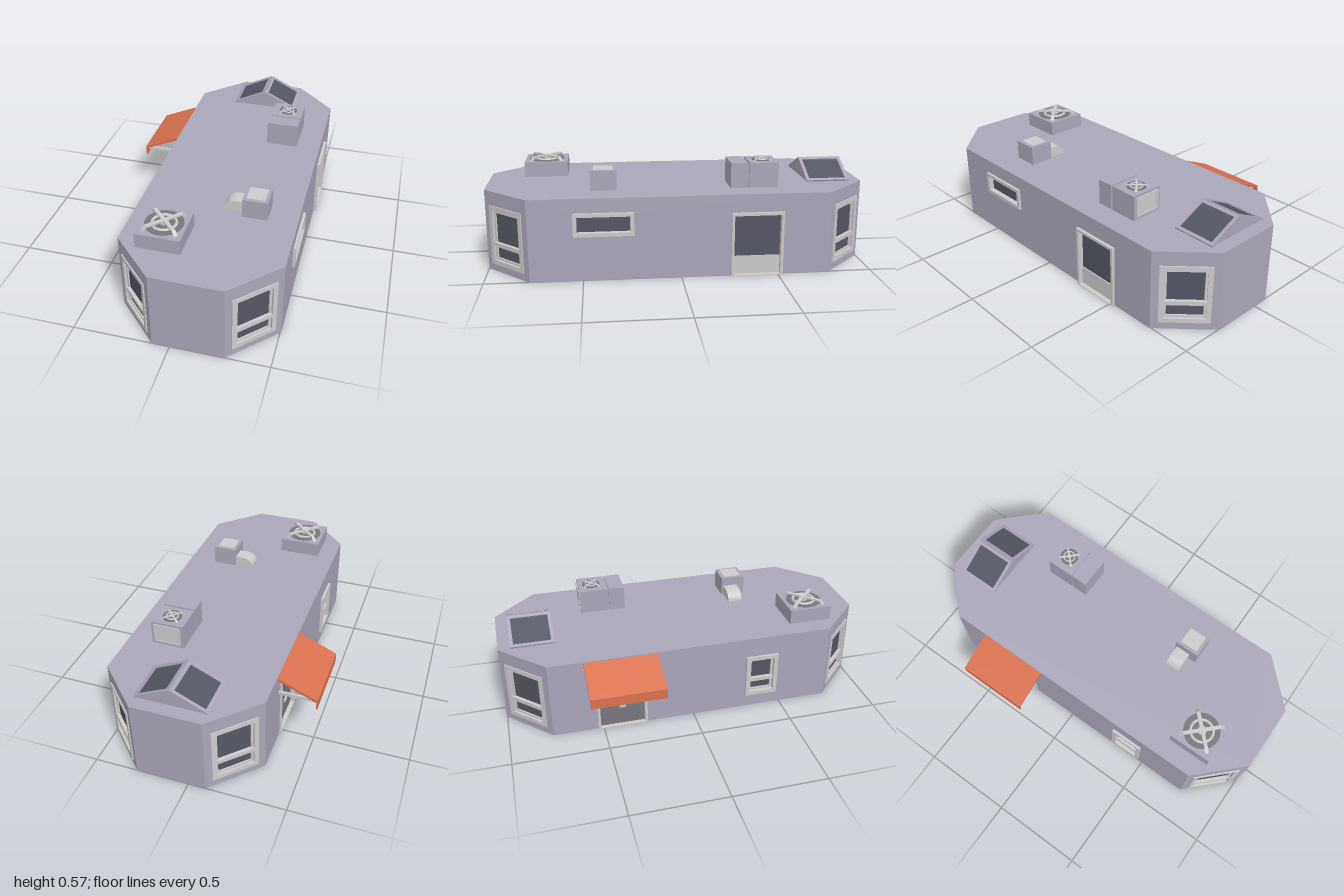
import * as THREE from 'three';

const mat = (color, side = THREE.FrontSide) =>
  new THREE.MeshStandardMaterial({ color, flatShading: true, side });
const GREY = mat(0xcccccc);
const WALL = mat(0xa9a7b9);
const GLASS = mat(0x545664);
const DARK = mat(0x77777d);
const ORANGE = mat(0xd9724f);
const H = 0.425, T = 0.035; // wall height and thickness

function add(parent, name, geo, material, x = 0, y = 0, z = 0) {
  const m = new THREE.Mesh(geo, material);
  m.name = name;
  m.position.set(x, y, z);
  parent.add(m);
  return m;
}

// box given by its minimum and maximum on each axis
function box(parent, name, material, x0, x1, y0, y1, z0, z1) {
  return add(parent, name, new THREE.BoxGeometry(x1 - x0, y1 - y0, z1 - z0), material,
    (x0 + x1) / 2, (y0 + y1) / 2, (z0 + z1) / 2);
}

const poly = (pts) => pts.map(([x, y]) => new THREE.Vector2(x, y));
const rect = (x0, x1, y0, y1) => poly([[x0, y0], [x1, y0], [x1, y1], [x0, y1]]);

// rectangular ring in the xy plane, from z0 to z1
function frame(parent, name, material, [x0, x1, y0, y1], rim, z0, z1, sill = rim) {
  const s = new THREE.Shape(rect(x0, x1, y0, y1));
  s.holes.push(new THREE.Path(rect(x0 + rim, x1 - rim, y0 + sill, y1 - rim)));
  return add(parent, name, new THREE.ExtrudeGeometry(s, { depth: z1 - z0, bevelEnabled: false }), material, 0, 0, z0);
}

// framed window with an optional cross bar at height bar
function windowUnit(parent, r, rim, out, bar) {
  const [x0, x1, y0, y1] = r;
  frame(parent, 'windowFrame', GREY, r, rim, -T - 0.008, out);
  box(parent, 'windowGlass', GLASS, x0 + rim, x1 - rim, y0 + rim, y1 - rim, -0.024, -0.014);
  if (!bar) return;
  const inner = [x0 + rim, x1 - rim, y0 + rim, y1 - rim];
  frame(parent, 'windowSash', GREY, inner, 0.012, -0.03, -0.006);
  box(parent, 'windowBar', GREY, x0 + rim, x1 - rim, bar - 0.011, bar + 0.011, -0.03, 0.004);
}

// one wall between two plan corners; local x runs along it, local z points outward
function wall(parent, name, [ax, az], [bx, bz], openings = []) {
  const g = new THREE.Group();
  g.name = name;
  g.position.set(ax, 0, az);
  g.rotation.y = Math.atan2(az - bz, bx - ax);
  const s = new THREE.Shape(rect(0, Math.hypot(bx - ax, bz - az), 0, H));
  for (const [x0, x1, y0, y1] of openings)
    s.holes.push(new THREE.Path(rect(x0 + 0.004, x1 - 0.004, y0 + 0.003, y1 - 0.004)));
  add(g, 'wallPanel', new THREE.ExtrudeGeometry(s, { depth: T, bevelEnabled: false }), WALL, 0, 0, -T);
  parent.add(g);
  return g;
}

// round fan with a ring and a raised diagonal guard
function fan(parent, x, y, z, r, lift) {
  const g = new THREE.Group();
  g.name = 'roofFan';
  g.position.set(x, y, z);
  parent.add(g);
  add(g, 'fanWell', new THREE.CylinderGeometry(r, r, 0.004, 24), DARK, 0, 0.001, 0);
  const ring = add(g, 'fanRing', new THREE.TorusGeometry(r * 0.62, r * 0.08, 6, 24), GREY, 0, 0.003, 0);
  ring.rotation.x = Math.PI / 2;
  add(g, 'fanHub', new THREE.CylinderGeometry(r * 0.25, r * 0.25, lift * 0.6, 12), GREY, 0, lift * 0.3, 0);
  const L = r * 1.25, w = r * 0.2, t = lift * 0.4;
  const bar = new THREE.Shape(poly([[-L, 0], [-L + t, 0], [-L * 0.82 + t / 2, lift - t], [L * 0.82 - t / 2, lift - t],
    [L - t, 0], [L, 0], [L * 0.82, lift], [-L * 0.82, lift]]));
  for (const a of [1, -1]) {
    const pivot = new THREE.Group();
    pivot.rotation.y = a * Math.PI / 4;
    add(pivot, 'fanGuard', new THREE.ExtrudeGeometry(bar, { depth: w, bevelEnabled: false }), GREY, 0, 0, -w / 2);
    g.add(pivot);
  }
}

export function createModel() {
  const model = new THREE.Group();
  model.name = 'trailer';

  // eight walls around an octagonal plan, open underneath
  const plan = [[-0.09, 1], [0.275, 1], [0.505, 0.77], [0.505, -0.77],
    [0.275, -1], [-0.09, -1], [-0.32, -0.77], [-0.32, 0.77]];
  const bay = [0.038, 0.287, 0.04, 0.355];
  const wideWindow = [0.225, 0.53, 0.235, 0.355], leftDoor = [1.025, 1.295, 0, 0.335];
  const smallWindow = [1.065, 1.245, 0.075, 0.32], rightDoor = [0.24, 0.51, 0, 0.37];
  const names = ['frontWall', 'frontLeftCorner', 'leftWall', 'backLeftCorner',
    'backWall', 'backRightCorner', 'rightWall', 'frontRightCorner'];
  const holes = { 2: [wideWindow, leftDoor], 6: [rightDoor, smallWindow] };
  const walls = plan.map((p, i) =>
    wall(model, names[i], p, plan[(i + 1) % 8], i % 2 ? [bay] : holes[i]));
  for (const i of [1, 3, 5, 7]) windowUnit(walls[i], bay, 0.024, 0.006, 0.15);

  // left side: wide window and half-glazed door
  windowUnit(walls[2], wideWindow, 0.019, 0.014);
  frame(walls[2], 'leftDoorFrame', GREY, leftDoor, 0.014, -T - 0.006, 0.016, 0.004);
  box(walls[2], 'leftDoorGlass', GLASS, 1.039, 1.281, 0.1, 0.321, -0.024, -0.014);
  box(walls[2], 'leftDoorPanel', GREY, 1.039, 1.281, 0.004, 0.1, -0.026, -0.008);

  // right side: small window and door with a high pane
  windowUnit(walls[6], smallWindow, 0.022, 0.014, 0.17);
  frame(walls[6], 'rightDoorFrame', GREY, rightDoor, 0.014, -T - 0.006, 0.009, 0.004);
  box(walls[6], 'rightDoorPanel', DARK, 0.254, 0.496, 0.004, 0.356, -0.028, -0.014);
  box(walls[6], 'rightDoorGlass', GLASS, 0.275, 0.475, 0.24, 0.335, -0.031, -0.011);
  box(walls[6], 'rightDoorPlate', GREY, 0.36, 0.395, 0.11, 0.13, -0.034, -0.006);

  // flat roof slab
  const roof = new THREE.ExtrudeGeometry(new THREE.Shape(poly(plan.map(([x, z]) => [x, -z]))),
    { depth: 0.015, bevelEnabled: false });
  add(model, 'roof', roof, WALL, 0, 0.415, 0).rotation.x = -Math.PI / 2;

  // awning over the right door: bent sheet and two arms
  const sheet = new THREE.Shape(poly([[-0.32, 0.424], [-0.525, 0.335], [-0.525, 0.28],
    [-0.519, 0.28], [-0.519, 0.322], [-0.32, 0.41]]));
  add(model, 'awning', new THREE.ExtrudeGeometry(sheet, { depth: 0.39, bevelEnabled: false }), ORANGE, 0, 0, -0.585);
  for (const z of [-0.56, -0.235])
    box(model, 'awningArm', GREY, -0.518, -0.315, 0.3, 0.318, z, z + 0.012);

  // large fan box near the front
  box(model, 'fanBox', WALL, -0.217, 0.012, 0.43, 0.51, 0.58, 0.815);
  fan(model, -0.102, 0.51, 0.698, 0.097, 0.022);

  // square vent with a bent duct
  box(model, 'ventBox', WALL, 0.222, 0.353, 0.43, 0.533, 0.32, 0.455);
  box(model, 'ventLid', GREY, 0.239, 0.336, 0.53, 0.536, 0.338, 0.437);
  const duct = new THREE.Shape();
  duct.moveTo(0.118, 0.43);
  duct.absellipse(0.178, 0.43, 0.06, 0.055, Math.PI, Math.PI / 2, true);
  duct.lineTo(0.225, 0.485);
  duct.lineTo(0.225, 0.43);
  add(model, 'ventDuct', new THREE.ExtrudeGeometry(duct, { depth: 0.08, bevelEnabled: false, curveSegments: 8 }),
    GREY, 0, 0, 0.33);

  // twin cooling unit
  box(model, 'coolerBack', WALL, 0.2, 0.375, 0.43, 0.562, -0.52, -0.368);
  box(model, 'coolerFront', WALL, 0.2, 0.375, 0.43, 0.562, -0.358, -0.27);
  box(model, 'coolerLink', WALL, 0.208, 0.367, 0.43, 0.553, -0.37, -0.356);
  frame(model, 'coolerGrille', GREY, [0.215, 0.36, 0.445, 0.55], 0.008, -0.525, -0.515);
  box(model, 'coolerGrillePanel', GREY, 0.222, 0.352, 0.452, 0.543, -0.522, -0.518);
  fan(model, 0.288, 0.562, -0.446, 0.05, 0.009);

  // gabled skylight with a framed pane on each slope
  const gable = new THREE.Shape(poly([[-0.092, 0.43], [0.278, 0.43], [0.093, 0.518]]));
  add(model, 'skylightGable', new THREE.ExtrudeGeometry(gable, { depth: 0.225, bevelEnabled: false }),
    WALL, 0, 0, -0.93);
  const slope = Math.atan2(0.088, 0.185), len = Math.hypot(0.088, 0.185);
  for (const side of [1, -1]) {
    const pane = new THREE.Group();
    pane.name = 'skylightPane';
    pane.position.set(0.093 + side * 0.0925, 0.474, -0.818);
    pane.rotation.set(-Math.PI / 2, -side * -slope, 0, 'ZYX');
    frame(pane, 'skylightFrame', WALL, [-len / 2, len / 2, -0.117, 0.117], 0.018, -0.004, 0.009);
    box(pane, 'skylightGlass', GLASS, -len / 2 + 0.018, len / 2 - 0.018, -0.099, 0.099, -0.003, 0.003);
    // tilt about the ridge direction after laying the pane flat
    pane.rotation.set(0, 0, 0);
    pane.quaternion.setFromAxisAngle(new THREE.Vector3(0, 0, 1), -side * slope)
      .multiply(new THREE.Quaternion().setFromAxisAngle(new THREE.Vector3(1, 0, 0), -Math.PI / 2));
    model.add(pane);
  }

  return model;
}
